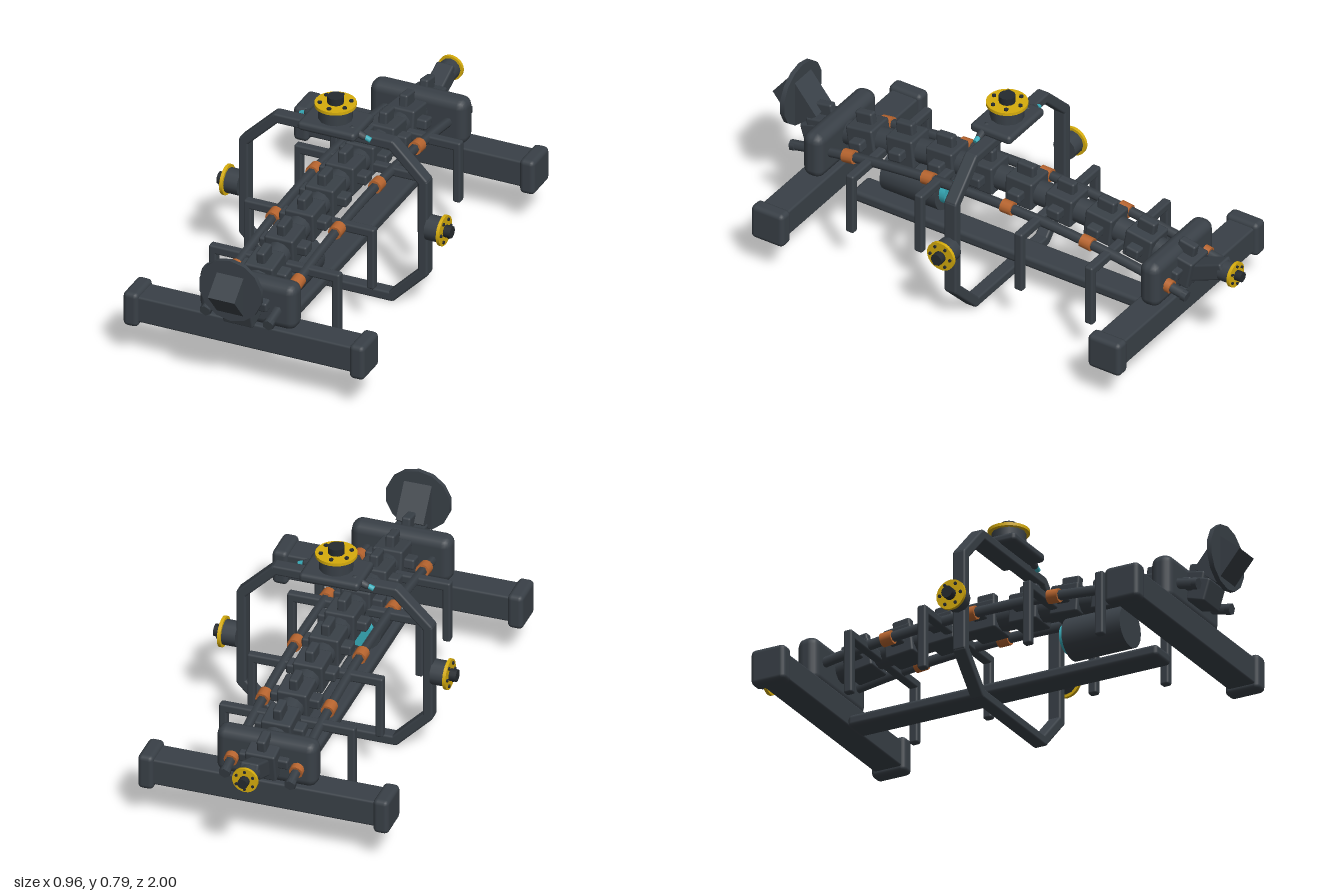
import * as THREE from 'three';
import { RoundedBoxGeometry } from 'three/addons/geometries/RoundedBoxGeometry.js';

const mat = (name, color) => {
  const m = new THREE.MeshStandardMaterial({ color });
  m.name = name;
  m.flatShading = false;
  return m;
};

export function createModel() {
  const model = new THREE.Group();
  model.name = 'spineFrame';
  const steel = mat('darkSteel', 0x394047);
  const black = mat('blackSteel', 0x252a2f);
  const yellow = mat('yellowFlange', 0xd6ac0c);
  const orange = mat('copperCoupling', 0xb8652f);
  const cyan = mat('cyanGlow', 0x38aebc);

  const add = (name, geo, material, x, y, z, parent = model) => {
    const m = new THREE.Mesh(geo, material);
    m.name = name;
    m.position.set(x, y, z);
    parent.add(m);
    return m;
  };
  const rbox = (w, h, d, r = 0.008) => new RoundedBoxGeometry(w, h, d, 2, r);
  const cyl = (r, h, n = 16, r2 = r) => new THREE.CylinderGeometry(r2, r, h, n).toNonIndexed();
  // Square bar between two points of an x/y plane
  const bar = (name, x1, y1, x2, y2, z, w, d) => {
    const dx = x2 - x1, dy = y2 - y1;
    const m = add(name, rbox(Math.hypot(dx, dy) + w * 0.5, w, d), steel, (x1 + x2) / 2, (y1 + y2) / 2, z);
    m.rotation.z = Math.atan2(dy, dx);
    return m;
  };

  // Shared arch of the spine and the rails
  const mid = 0.02;
  const drop = z => 0.09 * ((z - mid) / 0.85) ** 2;
  const tilt = z => Math.atan(0.18 * (z - mid) / 0.7225);

  // Vertebrae with top fins and side processes
  for (let i = 0; i < 10; i++) {
    const z = 0.79 - i * 0.171;
    const v = new THREE.Group();
    v.name = 'vertebra';
    v.position.set(0, 0.43 - drop(z), z);
    v.rotation.x = tilt(z);
    model.add(v);
    add('vertebraBody', rbox(0.115, 0.115, 0.115), steel, 0, 0, 0, v);
    add('topFin', rbox(0.034, 0.055, 0.072), steel, 0, 0.075, 0, v);
    add('sideProcess', rbox(0.19, 0.04, 0.055), steel, 0, 0, 0, v);
    if (i < 9) {
      const disc = add('spineDisc', cyl(0.048, 0.08, 12), steel, 0, -0.005, -0.0855, v);
      disc.rotation.x = Math.PI / 2;
    }
  }

  // Side rails with copper couplings
  for (const s of [-1, 1]) {
    const pts = [];
    for (let i = 0; i <= 8; i++) {
      const z = 0.87 - i * 0.214;
      pts.push(new THREE.Vector3(s * 0.125, 0.41 - drop(z), z));
    }
    add('sideRail', new THREE.TubeGeometry(new THREE.CatmullRomCurve3(pts), 24, 0.019, 6), steel, 0, 0, 0);
    for (const [p, d] of [[pts[0], 1], [pts[8], -1]]) {
      const cap = add('railEnd', cyl(0.022, 0.02, 6), steel, p.x, p.y, p.z - d * 0.01);
      cap.rotation.x = Math.PI / 2 + tilt(p.z);
    }
    for (let i = 0; i < 5; i++) {
      const z = 0.619 - i * 0.343;
      const c = add('railCoupling', cyl(0.026, 0.045, 12), orange, s * 0.125, 0.41 - drop(z), z);
      c.rotation.x = Math.PI / 2 + tilt(z);
    }
  }

  // Front and rear crossbeams with shoulder plates
  for (const z of [0.745, -0.712]) {
    add('crossbeam', rbox(0.9, 0.105, 0.112), steel, 0, 0.212, z);
    for (const s of [-1, 1]) add('beamEnd', rbox(0.06, 0.14, 0.14, 0.018), steel, s * 0.45, 0.21, z);
    add('shoulderPlate', rbox(0.385, 0.185, 0.085, 0.035), steel, 0, 0.348, z);
  }

  // Small rib frames
  for (const [z, top] of [[0.532, 0.39], [0.235, 0.42], [-0.198, 0.42], [-0.502, 0.39]]) {
    add('ribBar', rbox(0.52, 0.035, 0.035), steel, 0, top - 0.0175, z);
    for (const s of [-1, 1]) add('ribLeg', rbox(0.03, 0.25, 0.035), steel, s * 0.245, top - 0.125, z);
  }

  // Large octagonal hoop
  const right = [[0.23, 0.657], [0.357, 0.53], [0.357, 0.155], [0.23, 0.025]];
  const loop = [...right, ...right.map(([x, y]) => [-x, y]).reverse()];
  loop.forEach(([x, y], i) => {
    const [x2, y2] = loop[(i + 1) % loop.length];
    bar('hoopBar', x, y, x2, y2, mid, 0.038, 0.052);
  });

  // Keel beam
  add('keel', rbox(0.11, 0.046, 1.275, 0.015), steel, 0, 0.135, 0.022);

  // Underslung drum with a glowing lens
  const drum = add('drum', cyl(0.08, 0.24, 20), steel, 0, 0.277, 0.4);
  drum.rotation.x = Math.PI / 2;
  const lens = add('drumLens', cyl(0.055, 0.024, 20), cyan, 0, 0.283, 0.268);
  lens.rotation.x = Math.PI / 2;

  // Docking port pointing along its own +y, yellow ring at the origin
  const port = (x, y, z, r, depth) => {
    const g = new THREE.Group();
    g.name = 'dockingPort';
    g.position.set(x, y, z);
    model.add(g);
    add('portBase', cyl(r * 0.82, depth, 12), steel, 0, -depth / 2 - 0.004, 0, g);
    add('portRing', cyl(r, 0.012, 24), yellow, 0, 0, 0, g);
    add('portNub', cyl(r * 0.4, 0.03, 12), black, 0, 0.018, 0, g);
    for (let i = 0; i < 6; i++) {
      const a = i * Math.PI / 3 + Math.PI / 6;
      add('portBolt', cyl(r * 0.11, 0.014, 6), black, Math.cos(a) * r * 0.74, 0.005, Math.sin(a) * r * 0.74, g);
    }
    return g;
  };
  port(0, 0.764, mid, 0.077, 0.065);
  port(0.431, 0.34, mid, 0.058, 0.055).rotation.z = -Math.PI / 2;
  port(-0.431, 0.34, mid, 0.058, 0.055).rotation.z = Math.PI / 2;
  port(0, 0.39, -0.967, 0.049, 0.05).rotation.x = -Math.PI / 2;

  // Mount and glowing plugs beneath the top port
  add('portMount', rbox(0.23, 0.035, 0.175, 0.014), steel, 0, 0.688, mid);
  for (const s of [-1, 1]) {
    const arm = add('plugArm', new THREE.CapsuleGeometry(0.014, 0.05, 4, 8), steel, s * 0.105, 0.686, mid + s * 0.035);
    arm.rotation.z = s * 1.2;
    const plug = add('plug', cyl(0.01, 0.03, 8), cyan, s * 0.142, 0.673, mid + s * 0.035);
    plug.rotation.z = s * 1.2;
  }

  // Tail arm
  const tail = add('tailArm', rbox(0.07, 0.065, 0.17), steel, 0, 0.372, -0.855);
  tail.rotation.x = 0.4;

  // Head block and dish
  const head = add('headBlock', new THREE.BoxGeometry(0.106, 0.15, 0.12), steel, 0, 0.441, 0.906);
  head.rotation.x = 0.69;
  const dish = add('dish', cyl(0.125, 0.018, 14), steel, 0, 0.46, 0.913);
  dish.rotation.x = Math.PI / 2;
  const neck = add('neck', rbox(0.12, 0.09, 0.08), steel, 0, 0.335, 0.83);
  neck.rotation.x = 0.3;

  return model;
}
